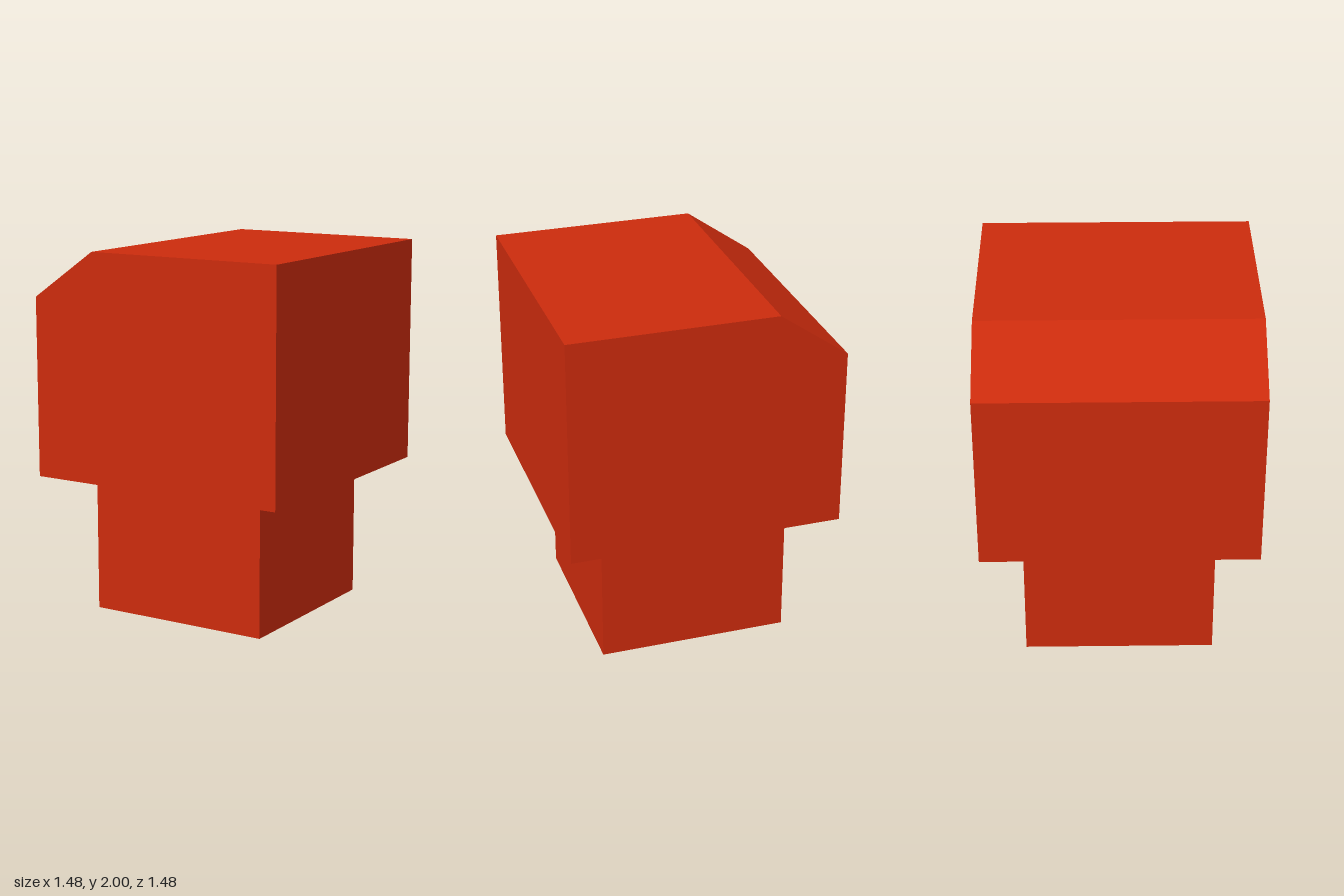
import * as THREE from 'three';

export function createModel() {
  const model = new THREE.Group();
  const red = new THREE.MeshStandardMaterial({ color: 0xcc2b0d, flatShading: true });

  // Square base block, just below the cap
  const baseHeight = 0.74;
  const base = new THREE.Mesh(new THREE.BoxGeometry(1.036, baseHeight, 1.036), red);
  base.name = 'base';
  base.position.y = baseHeight / 2;
  model.add(base);

  // Larger cap with one bevelled top edge, extruded front to back
  const half = 0.74;
  const profile = new THREE.Shape([
    [-half, 0.763], [half, 0.763], [half, 2], [-half / 2, 2], [-half, 1.741],
  ].map(([x, y]) => new THREE.Vector2(x, y)));
  const capGeometry = new THREE.ExtrudeGeometry(profile, { depth: half * 2, bevelEnabled: false });
  capGeometry.translate(0, 0, -half);
  const cap = new THREE.Mesh(capGeometry, red);
  cap.name = 'cap';
  model.add(cap);

  return model;
}
